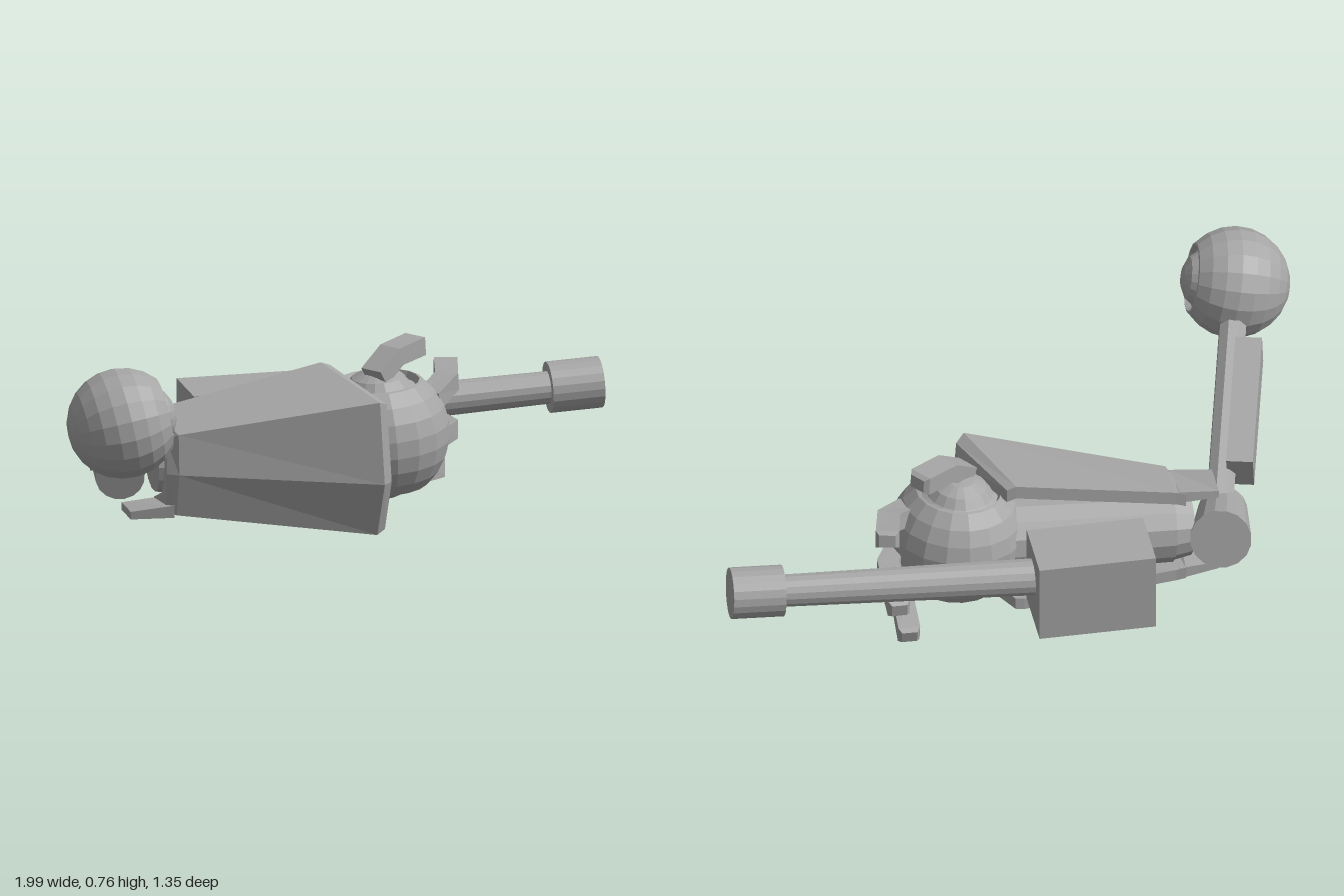
import * as THREE from 'three';

const V = (p) => new THREE.Vector3(...p);

export function createModel() {
  const model = new THREE.Group();
  model.name = 'mechanicalArm';
  const grey = new THREE.MeshStandardMaterial({ color: 0xa6a6a6 });
  grey.name = 'grey metal';
  grey.flatShading = true;

  const add = (name, geometry) => {
    const mesh = new THREE.Mesh(geometry, grey);
    mesh.name = name;
    model.add(mesh);
    return mesh;
  };

  // Cylinder running from point a to point b
  const rod = (name, a, b, ra, rb = ra, sides = 14) => {
    const from = V(a), dir = V(b).sub(from);
    const mesh = add(name, new THREE.CylinderGeometry(rb, ra, dir.length(), sides));
    mesh.position.copy(from).addScaledVector(dir, 0.5);
    mesh.quaternion.setFromUnitVectors(new THREE.Vector3(0, 1, 0), dir.normalize());
    return mesh;
  };

  // Solid skin over equal-length loops, capped at both ends
  const loft = (name, rings) => {
    const n = rings[0].length, last = (rings.length - 1) * n, idx = [];
    const quad = (a, b, c, d) => idx.push(a, b, c, a, c, d);
    for (let s = 0; s < last; s += n) {
      for (let i = 0; i < n; i++) {
        const j = (i + 1) % n;
        quad(s + i, s + j, s + n + j, s + n + i);
      }
    }
    for (let i = 0; i < n / 2 - 1; i++) {
      quad(last + i, last + i + 1, last + n - 2 - i, last + n - 1 - i);
      quad(n - 1 - i, n - 2 - i, i + 1, i);
    }
    const g = new THREE.BufferGeometry();
    g.setAttribute('position', new THREE.Float32BufferAttribute(rings.flat(2), 3));
    g.setIndex(idx);
    g.computeVertexNormals();
    return add(name, g);
  };

  // Ball joint with a sunken domed cap at the top, and optionally the bottom
  const ball = (name, centre, radius, axis, bothEnds) => {
    const cap = [[0.64, 0.768], [0.6, 0.78], [0.55, 0.68], [0.48, 0.72], [0.38, 0.85], [0.2, 0.94], [0, 0.97]];
    const pts = [];
    if (bothEnds) cap.slice(1).reverse().forEach(([x, y]) => pts.push(new THREE.Vector2(x, -y)));
    const start = bothEnds ? 140 : 180, steps = bothEnds ? 7 : 9;
    for (let i = 0; i < steps; i++) {
      const t = THREE.MathUtils.degToRad(start + (40 - start) * i / steps);
      pts.push(new THREE.Vector2(Math.sin(t), Math.cos(t)));
    }
    cap.forEach(([x, y]) => pts.push(new THREE.Vector2(x, y)));
    pts.forEach((p) => p.multiplyScalar(radius));
    const mesh = add(name, new THREE.LatheGeometry(pts, 18));
    mesh.position.set(...centre);
    mesh.quaternion.setFromUnitVectors(new THREE.Vector3(0, 1, 0), V(axis).normalize());
  };

  // Shoulder, upper arm and elbow
  ball('shoulderBall', [-0.82, 0.585, 0.495], 0.178, [1, 0.2, 0.07], false);
  const shoulder = [-0.815, 0.57, 0.45], elbow = [-0.635, 0.255, -0.25];
  rod('upperArmRod', shoulder, elbow, 0.045, 0.045, 8);
  const armBox = add('upperArmCasing', new THREE.BoxGeometry(0.085, 0.14, 0.46));
  armBox.position.set(-0.77, 0.41, 0.04);
  const along = V(shoulder).sub(V(elbow)).normalize();
  const side = new THREE.Vector3(0, 1, 0).cross(along).normalize();
  armBox.quaternion.setFromRotationMatrix(
    new THREE.Matrix4().makeBasis(side, along.clone().cross(side), along));
  rod('elbowJoint', [-0.655, 0.21, -0.2], [-0.605, 0.265, -0.435], 0.078, 0.098, 16);

  // Forearm core with its collar
  rod('forearmCore', [-0.47, 0.24, -0.29], [0.1, 0.27, -0.29], 0.12, 0.13);
  rod('forearmCollar', [-0.53, 0.235, -0.29], [-0.45, 0.24, -0.29], 0.1, 0.118);

  // Forearm guard: a C-shaped plate open to the back
  const inward = [[0, -0.045, 0], [0, -0.045, -0.05], [0, 0, -0.055], [0, 0.045, -0.05], [0, 0.04, 0]];
  const cSection = (outer) => [
    ...outer,
    ...outer.map((p, i) => p.map((v, k) => v + inward[i][k])).reverse(),
  ];
  loft('forearmGuard', [
    [[-0.51, 0.385, -0.34], [-0.51, 0.33, -0.17], [-0.515, 0.225, -0.15], [-0.51, 0.1, -0.18], [-0.51, 0.06, -0.34]],
    [[-0.48, 0.395, -0.34], [-0.48, 0.355, -0.135], [-0.48, 0.225, -0.125], [-0.48, 0.085, -0.16], [-0.48, 0.055, -0.34]],
    [[0.04, 0.5, -0.36], [0.14, 0.46, 0.015], [0.155, 0.19, 0.018], [0.15, 0.005, -0.06], [0.02, 0.05, -0.4]],
    [[0.07, 0.49, -0.36], [0.17, 0.445, -0.015], [0.185, 0.19, -0.012], [0.18, 0.018, -0.08], [0.05, 0.055, -0.4]],
  ].map(cSection));

  // Guard tongues reaching over and under the elbow
  const tongue = (name, tipY, rootFrontY, rootBackY) => {
    const ring = (x, yb, yf, zb, zf, t) => [[x, yb, zb], [x, yf, zf], [x, yf - t, zf], [x, yb - t, zb]];
    loft(name, [
      ring(-0.62, tipY, tipY, -0.32, -0.2, 0.025),
      ring(-0.49, rootBackY, rootFrontY, -0.34, -0.15, 0.04),
    ]);
  };
  tongue('upperTongue', 0.37, 0.35, 0.395);
  tongue('lowerTongue', 0.095, 0.12, 0.1);

  // Hand ball with caps above and below
  ball('handBall', [0.215, 0.28, -0.275], 0.22, [-0.06, 1, 0.02], true);

  // Fingers: bent square bars with a narrowed tip
  const finger = (name, pts, w, h) => {
    const p = pts.map(V);
    const tip = p[p.length - 1];
    const end = tip.clone().sub(p[p.length - 2]).normalize();
    p.push(tip.clone().addScaledVector(end, 0.015));
    const rings = p.map((c, i) => {
      const dir = p[Math.min(i + 1, p.length - 1)].clone().sub(p[Math.max(i - 1, 0)]).normalize();
      const u = new THREE.Vector3(0, 1, 0).cross(dir).normalize();
      const v = dir.clone().cross(u);
      const s = i === p.length - 1 ? 0.35 : 0.5;
      return [[1, 1], [-1, 1], [-1, -1], [1, -1]].map(([a, b]) =>
        c.clone().addScaledVector(u, a * w * s).addScaledVector(v, b * h * s).toArray());
    });
    loft(name, rings);
  };
  finger('thumb', [[0.18, 0.48, -0.22], [0.25, 0.535, -0.27], [0.345, 0.545, -0.34]], 0.08, 0.06);
  finger('upperFinger', [[0.37, 0.38, -0.26], [0.45, 0.415, -0.35], [0.475, 0.43, -0.47]], 0.075, 0.06);
  finger('middleFinger', [[0.39, 0.26, -0.26], [0.455, 0.25, -0.37], [0.455, 0.225, -0.56]], 0.07, 0.06);
  finger('lowerFinger', [[0.34, 0.15, -0.26], [0.41, 0.13, -0.36], [0.415, 0.09, -0.52]], 0.07, 0.06);

  // Weapon: square housing, mount, barrel and muzzle
  add('housing', new THREE.BoxGeometry(0.375, 0.265, 0.225)).position.set(-0.165, 0.258, -0.56);
  add('housingMount', new THREE.BoxGeometry(0.14, 0.14, 0.1)).position.set(-0.26, 0.25, -0.42);
  rod('barrel', [0, 0.28, -0.55], [0.84, 0.32, -0.532], 0.06, 0.052, 16);
  rod('muzzle', [0.825, 0.32, -0.532], [0.993, 0.328, -0.528], 0.082, 0.082, 20);

  return model;
}
